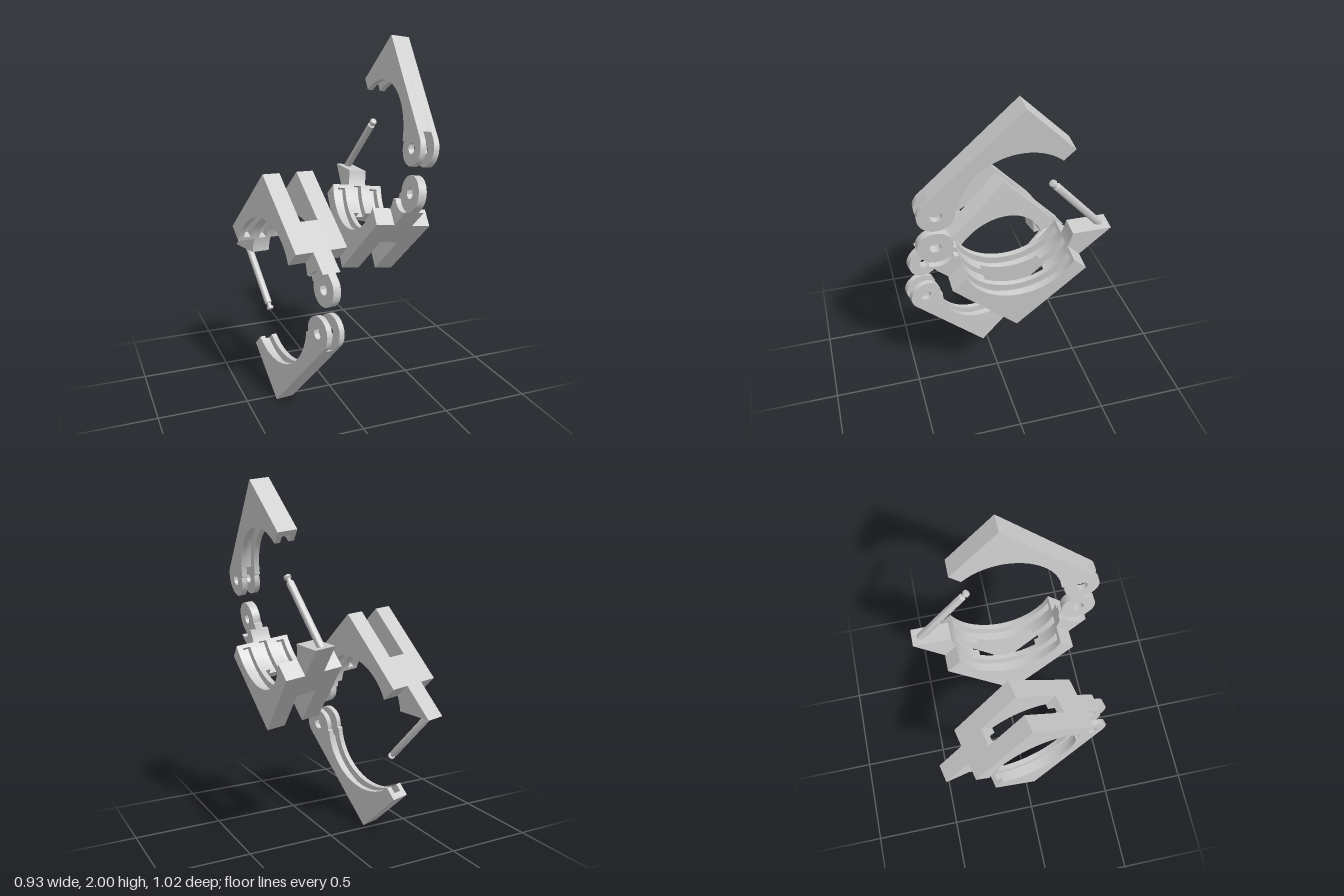
import * as THREE from 'three';
import { toCreasedNormals } from 'three/addons/utils/BufferGeometryUtils.js';

const mat = new THREE.MeshStandardMaterial({ color: 0xcccccc });
const D = 0.535;          // bore centre to corner of the square block
const R = 0.3, RG = 0.343; // bore and groove radius
const HINGE = 0.405, EAR = 0.092, HOLE = 0.03, CLEAR = 0.1;
const TONGUE = 0.0525, WIDE = 0.155, SLOT = 0.0225;
const WINDOW = 0.31, BLOCK = 0.495, TIP = 0.36, TANGENT = 0.665, CLEARED = 0.626;
const rad = THREE.MathUtils.degToRad;

// Point on the outer faces, s measured from the corner (negative = other face)
const face = (s) => [s / Math.SQRT2, -D + Math.abs(s) / Math.SQRT2];

// Angle from straight down where a cut square to the face at s meets radius r
const boreAngle = (s, r) => 45 + THREE.MathUtils.radToDeg(Math.asin((s - D / Math.SQRT2) / r));

function arc(cx, r, from, to, n = 32) {
  const pts = [];
  for (let i = 0; i <= n; i++) {
    const a = rad(from + (to - from) * i / n);
    pts.push([cx + r * Math.cos(a), r * Math.sin(a)]);
  }
  return pts;
}
// Bore arc with angles measured from straight down
const bore = (r, from, to, n) => arc(0, r, from - 90, to - 90, n);
const mirror = (pts) => pts.map(([h, v]) => [-h, v]);

// Extrude a side profile between two positions along the bore axis
function slab(name, pts, x0, x1, hole = false) {
  const shape = new THREE.Shape(pts.map(([h, v]) => new THREE.Vector2(h, v)));
  if (hole) {
    const p = new THREE.Path();
    p.absarc(HINGE, 0, HOLE, 0, Math.PI * 2, true);
    shape.holes.push(p);
  }
  let geo = new THREE.ExtrudeGeometry(shape, { depth: x1 - x0, bevelEnabled: false, curveSegments: 24 });
  geo.rotateY(-Math.PI / 2).translate(x1, 0, 0);
  geo = toCreasedNormals(geo, 0.45);
  const mesh = new THREE.Mesh(geo, mat);
  mesh.name = name;
  return mesh;
}

// Latch pin with a necked, rounded tip
function latchPin() {
  const base = new THREE.Vector3(0, -0.035, -0.46);
  const tip = new THREE.Vector3(0, 0.29, -0.172);
  const dir = tip.clone().sub(base);
  const L = dir.length();
  const profile = [[0, -0.02], [0.014, -0.014], [0.02, 0], [0.02, L - 0.045], [0.012, L - 0.038],
    [0.012, L - 0.024], [0.02, L - 0.018], [0.018, L - 0.006], [0, L]];
  const geo = new THREE.LatheGeometry(profile.map(([r, y]) => new THREE.Vector2(r, y)), 24);
  const pin = new THREE.Mesh(toCreasedNormals(geo, 0.6), mat);
  pin.name = 'latchPin';
  pin.position.copy(base);
  pin.quaternion.setFromUnitVectors(new THREE.Vector3(0, 1, 0), dir.normalize());
  return pin;
}

// Square half block with window, tongues, hinge lug and pin
function clampBody() {
  const g = new THREE.Group();
  g.name = 'clampBody';
  const end = boreAngle(BLOCK, R), ge = end - 4;
  const outer = [face(-BLOCK), face(0), face(BLOCK)];
  const plain = [...outer, ...bore(R, end, -end, 48)];
  const grooved = [...outer, ...bore(R, end, ge, 2), ...bore(RG, ge, -ge, 48), ...bore(R, -ge, -end, 2)];

  // Wide cheeks, each with a groove in the bore
  for (const s of [-1, 1]) {
    const cheek = (pts, a, b) => g.add(slab('cheek', pts, Math.min(s * a, s * b), Math.max(s * a, s * b)));
    cheek(plain, TONGUE, 0.08);
    cheek(grooved, 0.08, 0.125);
    cheek(plain, 0.125, WIDE);
  }

  // Hinge and latch tongues
  const w = boreAngle(WINDOW, R), wg = boreAngle(WINDOW, RG), stop = 67;
  const pocket = (from) => [...bore(R, from, stop, 8), ...bore(RG, stop, wg, 16)];
  const hingeSide = [face(WINDOW), face(CLEARED), ...arc(HINGE, CLEAR, -67.7, -150, 16), ...bore(R, 80, w, 20)];
  const lug = [face(WINDOW), ...arc(HINGE, EAR, -45, 190, 40), ...pocket(86)];
  const latchEnd = face(0.714);
  const latchSide = mirror([face(WINDOW), latchEnd, ...bore(R, 84.3, w, 20)]);
  const latchMid = mirror([face(WINDOW), latchEnd, ...pocket(84.3)]);
  for (const [a, b] of [[-TONGUE, -SLOT], [SLOT, TONGUE]]) {
    g.add(slab('hingeTongue', hingeSide, a, b), slab('latchTongue', latchSide, a, b));
  }
  g.add(slab('hingeLug', lug, -SLOT, SLOT, true));
  g.add(slab('latchTongueMiddle', latchMid, -SLOT, SLOT));
  g.add(latchPin());
  return g;
}

// Narrow swinging arm with two hinge ears and a groove along the bore
function clampArm() {
  const g = new THREE.Group();
  g.name = 'clampArm';
  const outer = [face(-TIP), face(0)];
  const side = [...outer, ...arc(HINGE, EAR, -45, 190, 40), ...bore(R, 86, -boreAngle(TIP, R), 48)];
  const mid = [...outer, face(CLEARED), ...arc(HINGE, CLEAR, -67.7, -136, 12),
    ...bore(RG, 78, -boreAngle(TIP, RG), 48)];
  g.add(slab('armSide', side, -TONGUE, -SLOT, true));
  g.add(slab('armSide', side, SLOT, TONGUE, true));
  g.add(slab('armMiddle', mid, -SLOT, SLOT));
  return g;
}

// Place a part by its bore axis, up axis and hinge axis; flipped turns it about the hinge axis
function place(part, u, v, h, pos, flipped) {
  const k = flipped ? -1 : 1;
  const m = new THREE.Matrix4().makeBasis(u.clone().multiplyScalar(k), v.clone().multiplyScalar(k), h);
  part.quaternion.setFromRotationMatrix(m);
  part.position.copy(pos);
  return part;
}

// Body and arm pulled apart along the up axis
function clamp(name, axis, forward, centre, bodyUp) {
  const u = new THREE.Vector3(...axis).normalize();
  const h = new THREE.Vector3(...forward);
  const v = h.clone().cross(u).normalize();
  h.copy(u).cross(v).normalize();
  const c = new THREE.Vector3(...centre);
  const armAt = c.clone().addScaledVector(v, bodyUp ? -0.23 : 0.23);
  const g = new THREE.Group();
  g.name = name;
  g.add(place(clampBody(), u, v, h, c, bodyUp));
  g.add(place(clampArm(), u, v, h, armAt, !bodyUp));
  return g;
}

export function createModel() {
  const model = new THREE.Group();
  model.name = 'hingedClamps';
  model.add(clamp('leftClamp', [0.991, -0.134, 0], [0, 0, 1], [0.302, 1.24, 0], false));
  model.add(clamp('rightClamp', [0.977, -0.058, -0.208], [0.21, 0.04, 0.978], [-0.253, 0.768, 0.003], true));
  return model;
}
